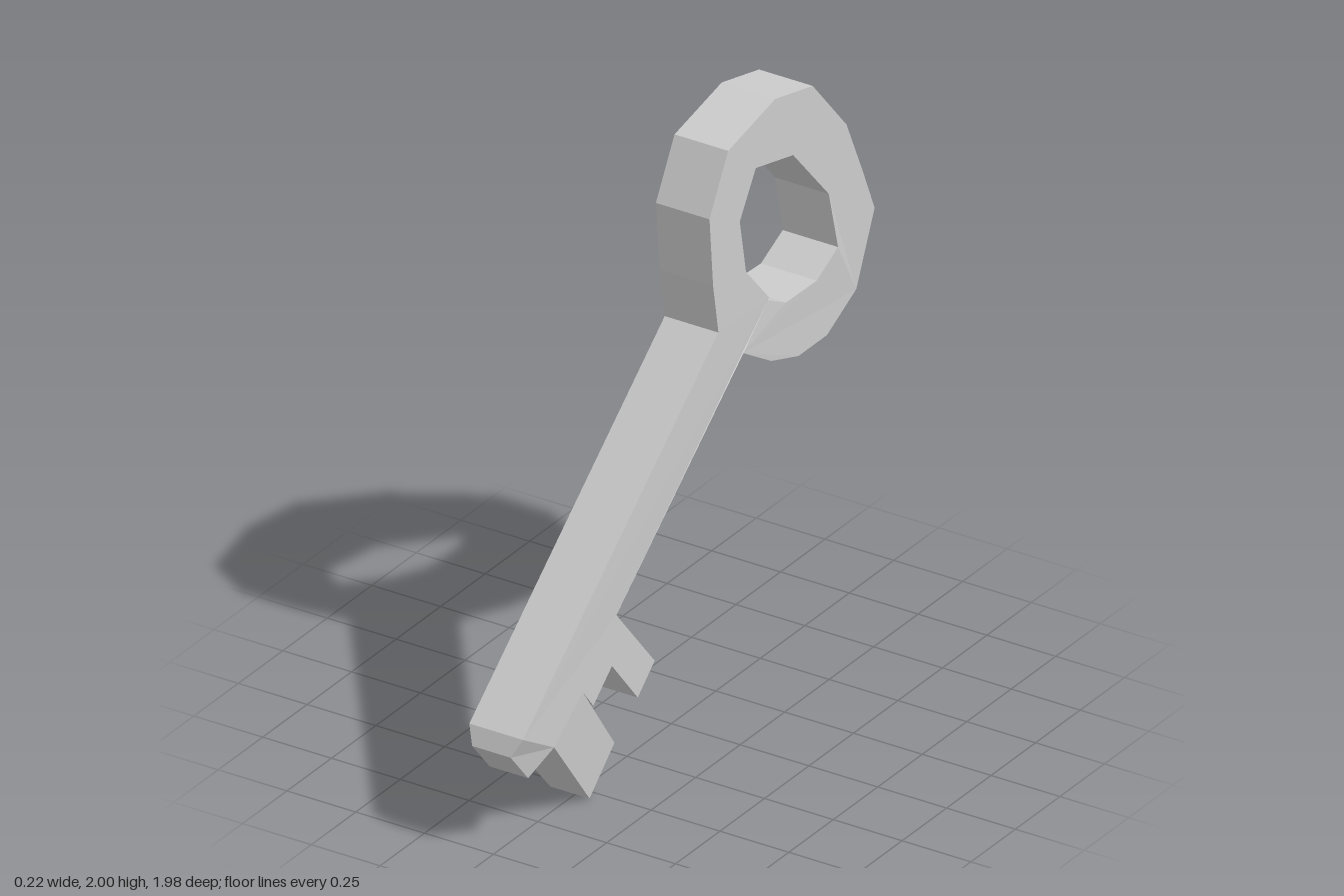
import * as THREE from 'three';

const material = new THREE.MeshStandardMaterial({ color: 0xcccccc, flatShading: true });

// Slab from an outline of [u, y, xMin, xMax], where u runs towards -z
function slab(name, outline) {
  const flat = outline.map(([u, y]) => new THREE.Vector2(u, y));
  if (THREE.ShapeUtils.area(flat) < 0) {
    flat.reverse();
    outline = [...outline].reverse();
  }
  const low = outline.map(([u, y, x0]) => [x0, y, -u]);
  const high = outline.map(([u, y, , x1]) => [x1, y, -u]);
  const pos = [];
  const tri = (...corners) => corners.forEach((c) => pos.push(...c));

  // Two faces
  for (let [a, b, c] of THREE.ShapeUtils.triangulateShape(flat, [])) {
    if (THREE.ShapeUtils.area([flat[a], flat[b], flat[c]]) < 0) [b, c] = [c, b];
    tri(high[a], high[b], high[c]);
    tri(low[a], low[c], low[b]);
  }
  // Rim
  outline.forEach((_, i) => {
    const j = (i + 1) % outline.length;
    tri(low[i], low[j], high[j]);
    tri(low[i], high[j], high[i]);
  });

  const geometry = new THREE.BufferGeometry();
  geometry.setAttribute('position', new THREE.Float32BufferAttribute(pos, 3));
  geometry.computeVertexNormals();
  const mesh = new THREE.Mesh(geometry, material);
  mesh.name = name;
  return mesh;
}

const wide = (points, x0, x1) => points.map(([u, y]) => [u, y, x0, x1]);

export function createModel() {
  const key = new THREE.Group();
  key.name = 'key';

  // Bow: faceted ring that starts and ends at the shaft
  key.add(slab('bow', [
    ...wide([
      [0.11, 1.335], [0.08, 1.51], [0.06, 1.75], [0.165, 1.94], [0.43, 2], [0.64, 1.95],
      [0.83, 1.73], [0.92, 1.53], [0.988, 1.37], [0.885, 1.135], [0.72, 1.05],
    ], -0.095, 0.1),
    ...wide([[0.56, 1.05]], -0.1, 0.1),
    ...wide([[0.41, 1.1], [0.25, 1.2], [0.388, 1.32]], -0.112, 0.098),
    ...wide([[0.485, 1.27]], -0.105, 0.103),
    ...wide([[0.655, 1.27]], -0.098, 0.105),
    [0.77, 1.335, -0.093, 0.108],
    ...wide([[0.73, 1.535], [0.53, 1.76], [0.32, 1.81], [0.23, 1.665], [0.265, 1.475], [0.395, 1.328]], -0.095, 0.1),
  ]));

  // Shaft with the inner tooth, leaning slightly sideways towards the tip
  key.add(slab('shaft', [
    ...wide([[0.11, 1.335], [0.395, 1.328], [0.25, 1.2]], -0.095, 0.1),
    ...wide([
      [-0.44, 0.6], [-0.225, 0.345], [-0.32, 0.26], [-0.465, 0.435], [-0.57, 0.345],
      [-0.63, 0.42], [-0.79, 0.3], [-0.965, 0.405],
    ], -0.11, 0.085),
  ]));

  // Tapered end of the shaft
  key.add(slab('tip', [
    ...wide([[-0.965, 0.405], [-0.79, 0.3]], -0.11, 0.085),
    ...wide([[-0.89, 0.23], [-0.988, 0.345]], -0.085, 0.055),
  ]));

  // Long outer tooth, narrowing downwards
  key.add(slab('longTooth', [
    ...wide([[-0.79, 0.3], [-0.63, 0.42]], -0.11, 0.085),
    ...wide([[-0.4, 0.13], [-0.54, 0]], -0.09, 0.052),
  ]));

  return key;
}
